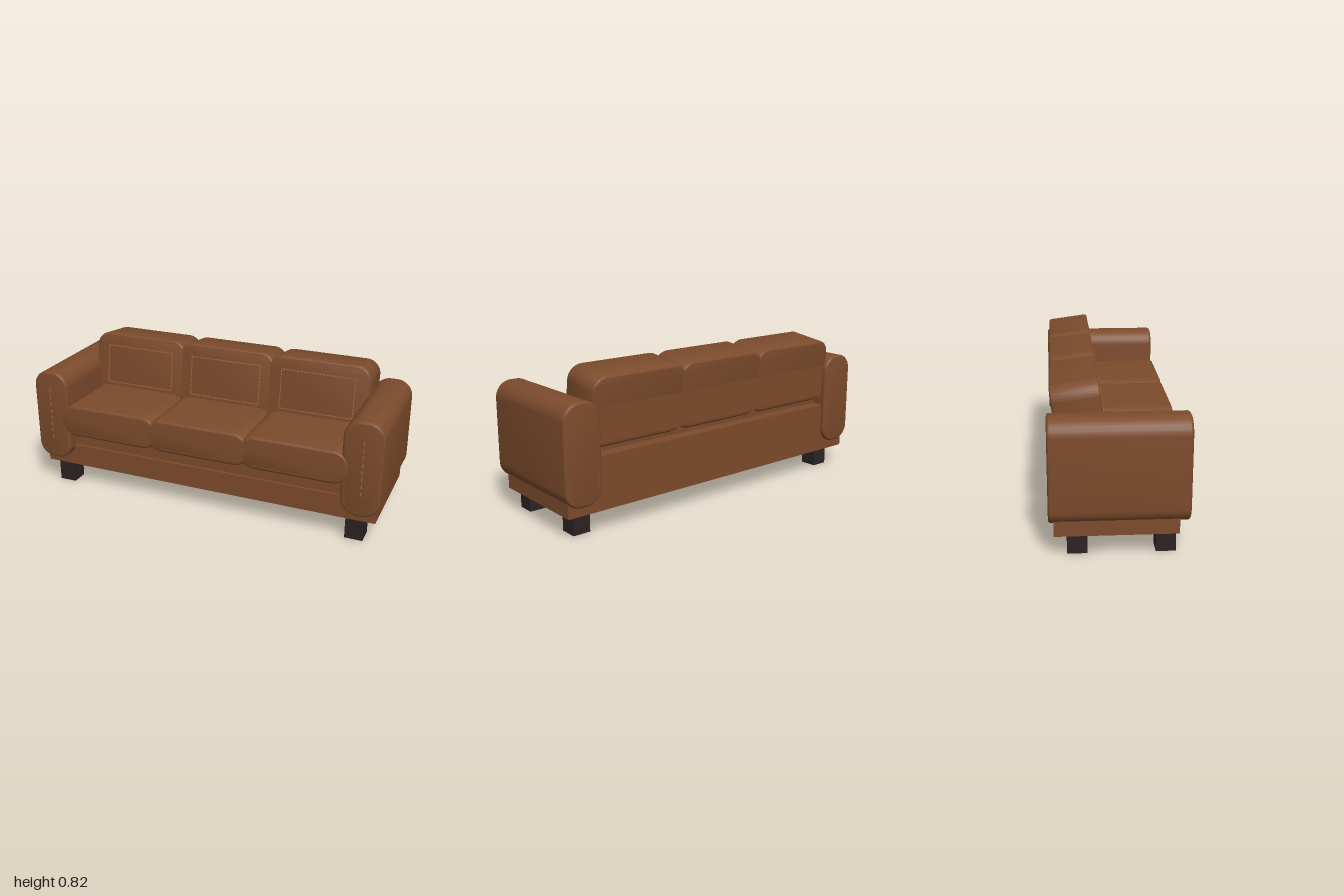
import * as THREE from 'three';
import { toCreasedNormals } from 'three/addons/utils/BufferGeometryUtils.js';

const leather = new THREE.MeshStandardMaterial({ color: 0x7c4b2c });
leather.name = 'brown leather';
const thread = new THREE.MeshStandardMaterial({ color: 0xa0663f });
thread.name = 'tan thread';
const darkWood = new THREE.MeshStandardMaterial({ color: 0x2d2323 });
darkWood.name = 'dark wood';

// Padded block: rounded rectangle in x/y, extruded along z with a small soft edge
function padGeometry(w, h, d, radius, soft = 0.014) {
  const x = w / 2 - soft, y = h / 2 - soft, r = radius - soft;
  const s = new THREE.Shape();
  s.absarc(x - r, y - r, r, 0, Math.PI / 2);
  s.absarc(-x + r, y - r, r, Math.PI / 2, Math.PI);
  s.absarc(-x + r, -y + r, r, Math.PI, Math.PI * 1.5);
  s.absarc(x - r, -y + r, r, Math.PI * 1.5, Math.PI * 2);
  const geo = new THREE.ExtrudeGeometry(s, {
    depth: d - 2 * soft, bevelEnabled: true, bevelSize: soft,
    bevelThickness: soft, bevelSegments: 4, curveSegments: 10,
  });
  geo.translate(0, 0, -d / 2 + soft);
  return toCreasedNormals(geo, 0.6);
}

function add(parent, name, geo, material, x, y, z) {
  const mesh = new THREE.Mesh(geo, material);
  mesh.name = name;
  mesh.position.set(x, y, z);
  parent.add(mesh);
  return mesh;
}

// Box given by its limits on each axis
function addBox(parent, name, material, [x0, x1], [y0, y1], [z0, z1]) {
  const geo = new THREE.BoxGeometry(x1 - x0, y1 - y0, z1 - z0);
  return add(parent, name, geo, material, (x0 + x1) / 2, (y0 + y1) / 2, (z0 + z1) / 2);
}

// Row of thin stitches between two points in an x/y plane
function addStitches(parent, x0, y0, x1, y1, z, count, fill) {
  const length = Math.hypot(x1 - x0, y1 - y0) / count * fill;
  const upright = Math.abs(y1 - y0) > Math.abs(x1 - x0);
  const geo = new THREE.BoxGeometry(upright ? 0.005 : length, upright ? length : 0.005, 0.008);
  for (let i = 0; i < count; i++) {
    const t = (i + 0.5) / count;
    add(parent, 'stitch', geo, thread, x0 + (x1 - x0) * t, y0 + (y1 - y0) * t, z);
  }
}

export function createModel() {
  const sofa = new THREE.Group();
  sofa.name = 'sofa';

  // Frame
  addBox(sofa, 'base', leather, [-0.975, 0.975], [0.12, 0.245], [-0.31, 0.28]);
  addBox(sofa, 'seatDeck', leather, [-0.82, 0.82], [0.245, 0.4], [-0.31, 0.265]);
  addBox(sofa, 'backPanel', leather, [-0.81, 0.81], [0.46, 0.66], [-0.303, -0.2]);

  // Arms with a stitched front seam, and legs
  const armGeo = padGeometry(0.208, 0.52, 0.665, 0.088);
  const legGeo = new THREE.BoxGeometry(0.097, 0.12, 0.097);
  for (const side of [-1, 1]) {
    const arm = new THREE.Group();
    arm.name = side > 0 ? 'leftArm' : 'rightArm';
    sofa.add(arm);
    add(arm, 'armPad', armGeo, leather, side * 0.896, 0.43, -0.0025);
    addStitches(arm, side * 0.9, 0.28, side * 0.9, 0.6, 0.331, 8, 0.5);
    add(sofa, 'frontLeg', legGeo, darkWood, side * 0.865, 0.06, 0.223);
    add(sofa, 'backLeg', legGeo, darkWood, side * 0.865, 0.06, -0.2);
  }

  // Seat and back cushions
  const seatGeo = padGeometry(0.59, 0.182, 0.575, 0.085);
  const backGeo = padGeometry(0.572, 0.365, 0.236, 0.08);
  for (const i of [-1, 0, 1]) {
    add(sofa, 'seatCushion', seatGeo, leather, i * 0.535, 0.42, 0.0475);

    const back = new THREE.Group();
    back.name = 'backCushion';
    back.position.set(i * 0.535, 0.624, -0.182);
    back.rotation.x = -0.133;
    sofa.add(back);
    add(back, 'backPad', backGeo, leather, 0, 0, 0);
    // Stitched rectangle on the front face
    for (const side of [-1, 1]) {
      addStitches(back, side * 0.206, -0.11, side * 0.206, 0.11, 0.118, 11, 0.7);
      addStitches(back, -0.206, side * 0.11, 0.206, side * 0.11, 0.118, 20, 0.7);
    }
  }
  return sofa;
}
